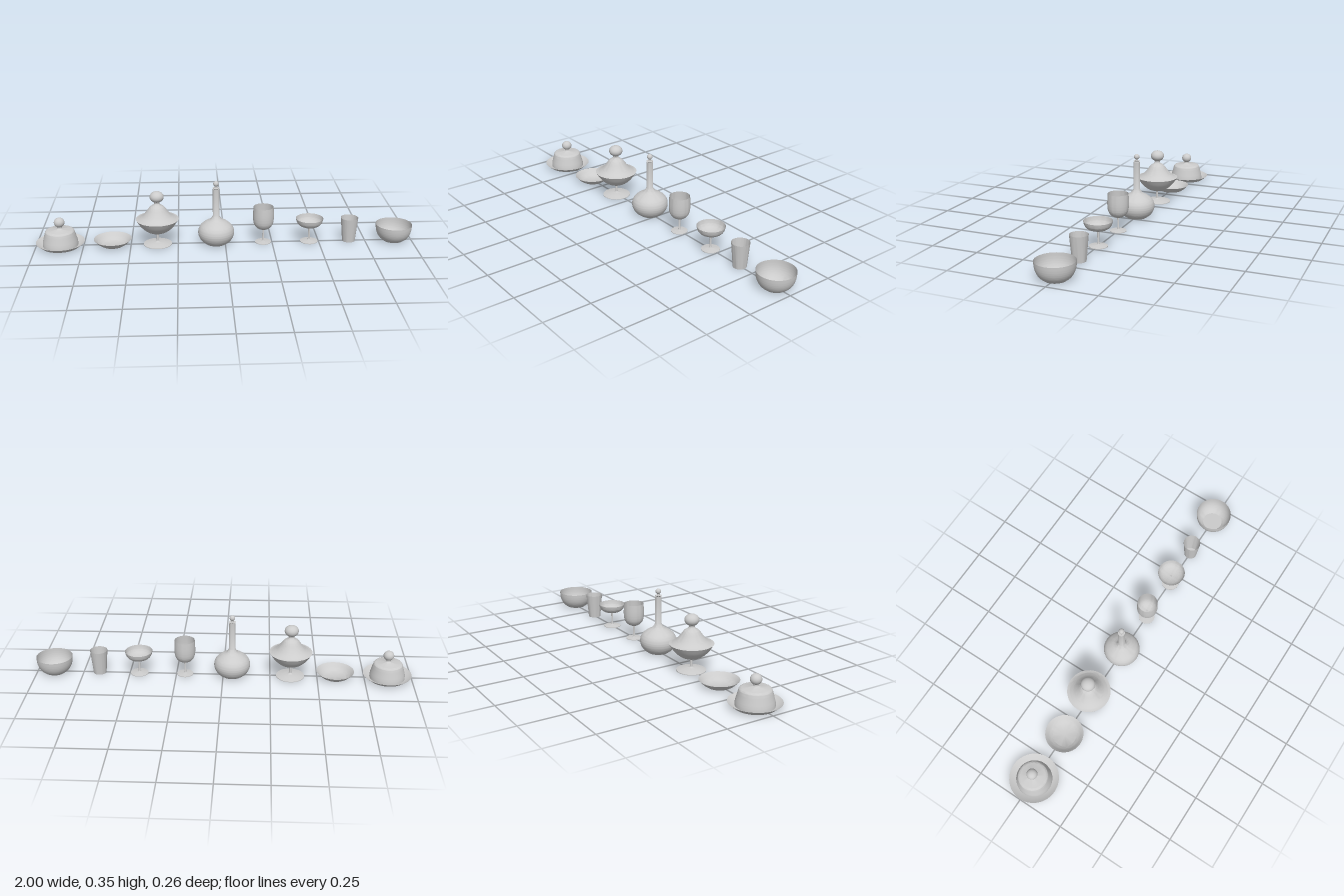
import * as THREE from 'three';
import { toCreasedNormals } from 'three/addons/utils/BufferGeometryUtils.js';

const glass = new THREE.MeshStandardMaterial({ color: 0xcccccc, side: THREE.DoubleSide });

// Turned part: each piece is a list of [radius, height]; three or more points make a smooth curve,
// and pieces meet at sharp corners.
function turned(name, ...pieces) {
  const profile = [];
  for (const piece of pieces) {
    const pts = piece.map(([r, y]) => new THREE.Vector2(r, y));
    const run = pts.length > 2 ? new THREE.SplineCurve(pts).getPoints(pts.length * 4) : pts;
    for (const p of run) {
      p.x = Math.max(p.x, 0);
      const last = profile[profile.length - 1];
      if (!last || last.distanceTo(p) > 1e-5) profile.push(p);
    }
  }
  const mesh = new THREE.Mesh(toCreasedNormals(new THREE.LatheGeometry(profile, 48), 0.6), glass);
  mesh.name = name;
  return mesh;
}

// Knob or stopper ball
function ball(name, y, r, ry = r) {
  const mesh = new THREE.Mesh(new THREE.SphereGeometry(r, 32, 20), glass);
  mesh.scale.y = ry / r;
  mesh.position.y = y;
  mesh.name = name;
  return mesh;
}

// Round foot with a slim stem rising to the bowl
function footAndStem(radius, top, rise, stem = 0.006) {
  return turned('footAndStem',
    [[0, 0], [radius, 0]], [[radius, 0], [radius, 0.003]],
    [[radius, 0.003], [radius * 0.5, rise * 0.7], [stem * 1.6, rise], [stem, rise + 0.012]],
    [[stem, rise + 0.012], [stem, top]]);
}

export function createModel() {
  const set = new THREE.Group();
  set.name = 'tableware';
  const place = (name, x, ...parts) => {
    const group = new THREE.Group();
    group.name = name;
    group.position.x = x;
    group.add(...parts);
    set.add(group);
  };

  // Covered butter dish
  place('butterDish', -0.872,
    turned('dishPlate', [[0, 0], [0.1, 0]], [[0.1, 0], [0.128, 0.023]],
      [[0.128, 0.023], [0.098, 0.005]], [[0.098, 0.005], [0, 0.005]]),
    turned('dishLid', [[0.093, 0.005], [0.092, 0.025]],
      [[0.092, 0.025], [0.084, 0.055], [0.077, 0.08], [0.072, 0.087], [0.064, 0.09]],
      [[0.064, 0.09], [0.025, 0.094]],
      [[0.025, 0.094], [0.014, 0.099], [0.012, 0.108], [0.015, 0.115]]),
    ball('dishKnob', 0.131, 0.028, 0.026));

  // Shallow plate
  place('plate', -0.596,
    turned('plateBody', [[0, 0], [0.06, 0]],
      [[0.06, 0], [0.078, 0.012], [0.09, 0.024], [0.1, 0.034]]));

  // Footed bowl with lid
  place('coveredCompote', -0.358,
    footAndStem(0.075, 0.065, 0.016),
    turned('compoteBowl',
      [[0, 0.06], [0.025, 0.064], [0.06, 0.08], [0.09, 0.108], [0.113, 0.143]]),
    turned('compoteLid', [[0.113, 0.143], [0.1, 0.145]],
      [[0.1, 0.145], [0.078, 0.16], [0.059, 0.181], [0.046, 0.199], [0.036, 0.211], [0.022, 0.22]],
      [[0.022, 0.22], [0.016, 0.226], [0.015, 0.234], [0.018, 0.242]]),
    ball('compoteKnob', 0.265, 0.037, 0.03));

  // Decanter with stopper
  place('decanter', -0.048,
    turned('decanterBody', [[0, 0], [0.054, 0]],
      [[0.054, 0], [0.079, 0.02], [0.093, 0.046], [0.095, 0.072], [0.084, 0.098],
        [0.058, 0.12], [0.032, 0.135], [0.0175, 0.155]],
      [[0.0175, 0.155], [0.0175, 0.305]], [[0.0175, 0.305], [0, 0.305]]),
    turned('stopperCollar', [[0.012, 0.304], [0.018, 0.31]], [[0.018, 0.31], [0.008, 0.311]],
      [[0.008, 0.311], [0.007, 0.322]]),
    ball('stopperBall', 0.332, 0.0145));

  // Goblet
  place('goblet', 0.203,
    footAndStem(0.043, 0.075, 0.008, 0.005),
    turned('gobletBowl',
      [[0, 0.072], [0.018, 0.075], [0.038, 0.087], [0.051, 0.108], [0.055, 0.135], [0.055, 0.165], [0.053, 0.2]]));

  // Wide shallow stem glass
  place('coupe', 0.449,
    footAndStem(0.047, 0.085, 0.01, 0.005),
    turned('coupeBowl',
      [[0, 0.081], [0.024, 0.083], [0.05, 0.092], [0.066, 0.108], [0.073, 0.131]]));

  // Tumbler
  place('tumbler', 0.663,
    turned('tumblerBody', [[0, 0], [0.034, 0]], [[0.034, 0], [0.046, 0.131]]));

  // Bowl
  place('bowl', 0.904,
    turned('bowlBody', [[0, 0], [0.053, 0]],
      [[0.053, 0], [0.073, 0.016], [0.087, 0.038], [0.094, 0.063], [0.096, 0.09]]));

  return set;
}
